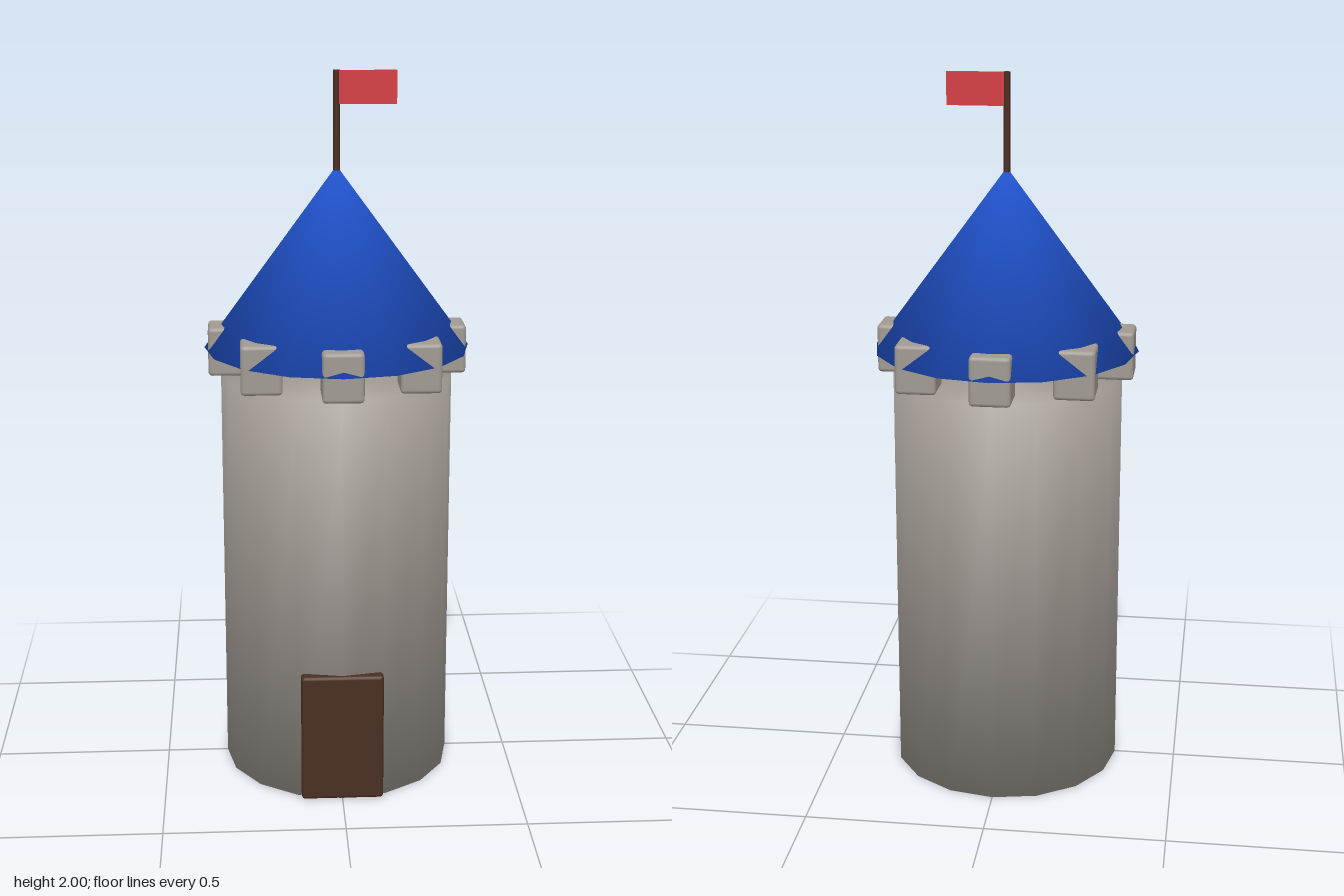
import * as THREE from 'three';
import { mergeVertices } from 'three/addons/utils/BufferGeometryUtils.js';
import { RoundedBoxGeometry } from 'three/addons/geometries/RoundedBoxGeometry.js';

const material = (name, color) => {
  const m = new THREE.MeshStandardMaterial({ color });
  m.name = name;
  return m;
};

// Weld a capped solid and give it soft normals, weighting faces by corner angle.
function soften(geometry) {
  geometry.deleteAttribute('normal');
  geometry.deleteAttribute('uv');
  const welded = mergeVertices(geometry, 1e-4);
  welded.clearGroups();
  const pos = welded.attributes.position;
  const sums = Array.from({ length: pos.count }, () => new THREE.Vector3());
  const index = welded.index;
  for (let i = 0; i < index.count; i += 3) {
    const ids = [0, 1, 2].map((k) => index.getX(i + k));
    const p = ids.map((id) => new THREE.Vector3().fromBufferAttribute(pos, id));
    const normal = new THREE.Triangle(...p).getNormal(new THREE.Vector3());
    ids.forEach((id, k) => {
      const a = p[(k + 1) % 3].clone().sub(p[k]);
      const b = p[(k + 2) % 3].clone().sub(p[k]);
      sums[id].addScaledVector(normal, a.angleTo(b));
    });
  }
  const normals = sums.flatMap((n) => n.normalize().toArray());
  welded.setAttribute('normal', new THREE.Float32BufferAttribute(normals, 3));
  return welded;
}

export function createModel() {
  const model = new THREE.Group();
  model.name = 'tower';

  const stone = material('stone', 0xa19a93);
  const blue = material('roofBlue', 0x2256d4);
  const wood = material('darkWood', 0x4a2e21);
  const red = material('flagRed', 0xd43c42);

  const add = (name, geometry, mat, x, y, z, parent = model) => {
    const mesh = new THREE.Mesh(geometry, mat);
    mesh.name = name;
    mesh.position.set(x, y, z);
    parent.add(mesh);
    return mesh;
  };

  // Round wall
  const wallTop = 1.168;
  add('wall', soften(new THREE.CylinderGeometry(0.325, 0.325, wallTop, 16)), stone, 0, wallTop / 2, 0);

  // Ring of eight battlement blocks, all square to the axes
  const battlements = new THREE.Group();
  battlements.name = 'battlements';
  model.add(battlements);
  const block = new RoundedBoxGeometry(0.112, 0.137, 0.112, 2, 0.011);
  for (let i = 0; i < 8; i++) {
    const a = (i * Math.PI) / 4;
    add('battlement' + (i + 1), block, stone, Math.sin(a) * 0.303, 1.235, Math.cos(a) * 0.303, battlements);
  }

  // Conical roof resting among the blocks
  add('roof', soften(new THREE.ConeGeometry(0.37, 0.505, 16)), blue, 0, 1.4905, 0);

  // Door
  add('door', new RoundedBoxGeometry(0.23, 0.373, 0.06, 2, 0.01), wood, 0, 0.1885, 0.304);

  // Flagpole and flag
  add('flagpole', new THREE.CylinderGeometry(0.0095, 0.0095, 0.3, 8), wood, 0, 1.85, 0);
  add('flag', new THREE.BoxGeometry(0.16, 0.09, 0.012), red, 0.084, 1.954, 0);

  return model;
}
